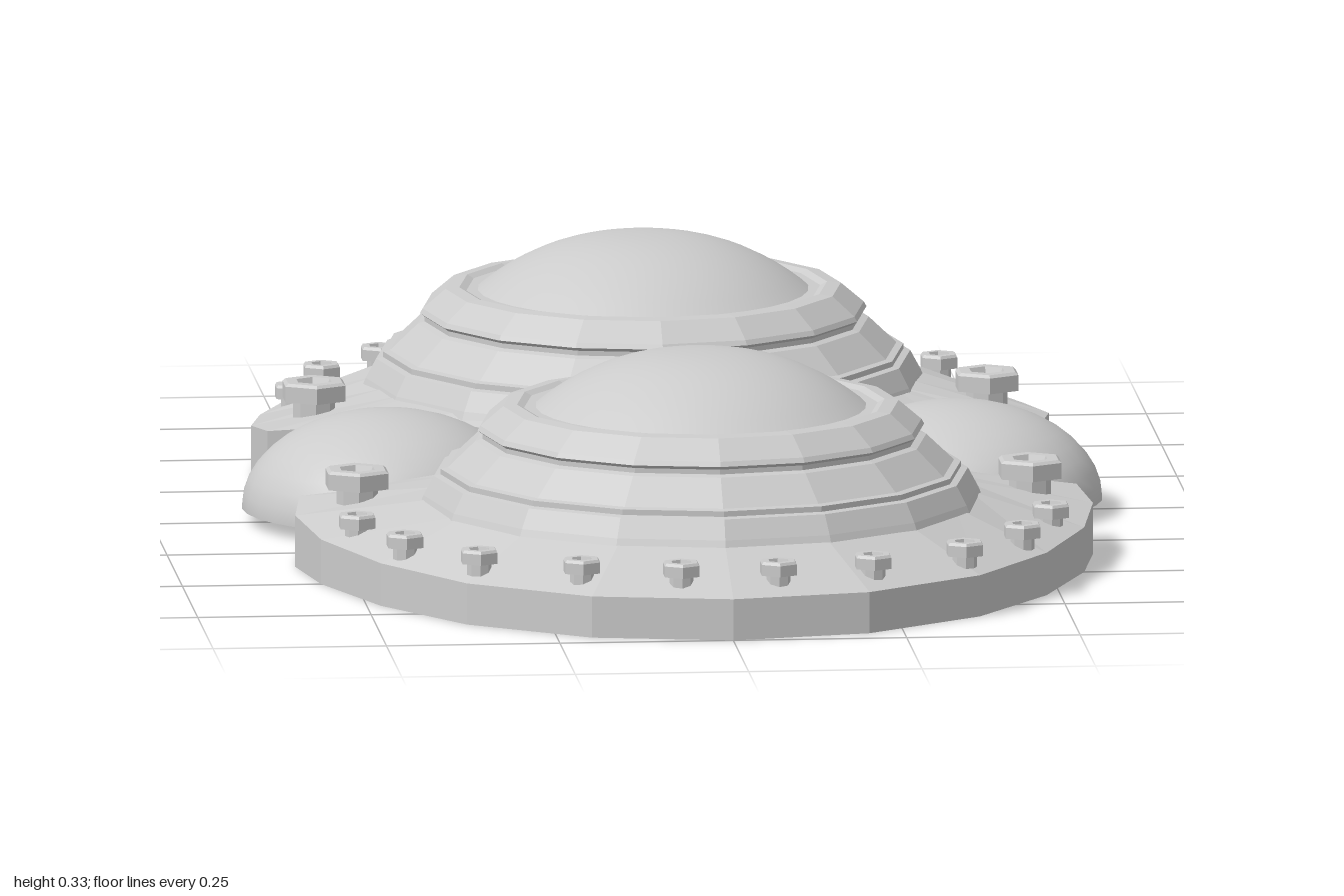
import * as THREE from 'three';

const flat = new THREE.MeshStandardMaterial({ color: 0xcccccc, flatShading: true, side: THREE.DoubleSide });
const smooth = new THREE.MeshStandardMaterial({ color: 0xcccccc, side: THREE.DoubleSide });
const CZ = 0.47; // centre of each main dome along z

function lathe(name, profile, segments, material) {
  const pts = profile.map(([r, y]) => new THREE.Vector2(r, y));
  const mesh = new THREE.Mesh(new THREE.LatheGeometry(pts, segments), material);
  mesh.name = name;
  return mesh;
}

// Half outline of one flange: x, z, top edge height, bottom edge height
const outline = [
  [0, 1, 0.06, 0], [0.2, 0.96, 0.06, 0], [0.37, 0.84, 0.06, 0], [0.48, 0.68, 0.062, 0],
  [0.55, 0.5, 0.065, 0], [0.575, 0.36, 0.075, 0], [0.56, 0.26, 0.085, 0],
  [0.49, 0.25, 0.09, 0], [0.4, 0.222, 0.1, 0], [0.3, 0.182, 0.105, 0.02],
  [0.235, 0.13, 0.105, 0.045], [0.19, 0.07, 0.1, 0.065], [0.17, 0, 0.1, 0.07],
  [0.085, 0, 0.1, 0.1], [0, 0, 0.1, 0.1],
];

// Flange skin: a sloping top from the dome ring to the outline, then a skirt
function flange() {
  const loop = [...outline, ...outline.slice(1, -1).reverse().map(([x, ...rest]) => [-x, ...rest])];
  const pos = [], index = [], n = loop.length;
  loop.forEach(([x, z, top, bottom], i) => {
    const k = 0.385 / Math.hypot(x, z - CZ);
    pos.push(x * k, 0.12, CZ + (z - CZ) * k, x, top, z, x, bottom, z);
    const a = i * 3, b = ((i + 1) % n) * 3;
    for (let j = 0; j < 2; j++) {
      index.push(a + j, a + j + 1, b + j, b + j, a + j + 1, b + j + 1);
    }
  });
  const geo = new THREE.BufferGeometry();
  geo.setAttribute('position', new THREE.Float32BufferAttribute(pos, 3));
  geo.setIndex(index);
  geo.computeVertexNormals();
  const mesh = new THREE.Mesh(geo, flat);
  mesh.name = 'flange';
  return mesh;
}

// Bolt with a hexagonal head, a socket and a narrower stem
function bolt(name, x, z, r, foot, top) {
  const group = new THREE.Group();
  const under = top - (r > 0.04 ? 0.027 : 0.02);
  group.add(
    lathe('stem', [[r * 0.6, foot], [r * 0.6, under]], 8, flat),
    lathe('head', [[r * 0.6, under], [r, under], [r, top - 0.004], [r * 0.9, top],
      [r * 0.55, top], [r * 0.45, top - 0.012], [0, top - 0.012]], 6, flat),
  );
  group.name = name;
  group.position.set(x, 0, z);
  return group;
}

function half() {
  const group = new THREE.Group();
  group.add(flange());

  // Stepped faceted collar
  const collar = lathe('steppedCollar', [
    [0.405, 0.11], [0.4, 0.122], [0.385, 0.15], [0.375, 0.152], [0.375, 0.16], [0.365, 0.162],
    [0.325, 0.2], [0.315, 0.203], [0.315, 0.21], [0.322, 0.215], [0.318, 0.222],
    [0.285, 0.25], [0.265, 0.252], [0.255, 0.247], [0.228, 0.247],
  ], 16, flat);
  collar.position.z = CZ;

  // Smooth cap
  const cap = [];
  for (let i = 0; i <= 12; i++) {
    const t = 1 - i / 12;
    cap.push([0.238 * t, 0.247 + 0.079 * (1 - t ** 2.4)]);
  }
  const dome = lathe('mainDome', cap, 32, smooth);
  dome.position.z = CZ;
  group.add(collar, dome);

  // Rim bolts and the large corner bolts, mirrored
  for (const s of [1, -1]) {
    for (const [x, z] of [[0.07, 0.945], [0.21, 0.905], [0.35, 0.815], [0.445, 0.68], [0.5, 0.522]]) {
      group.add(bolt('rimBolt', s * x, z, 0.029, 0.068, 0.106));
    }
    group.add(bolt('cornerBolt', s * 0.485, 0.352, 0.05, 0.08, 0.141));
  }
  return group;
}

export function createModel() {
  const model = new THREE.Group();
  const front = half();
  front.name = 'frontHalf';
  const back = half();
  back.name = 'backHalf';
  back.rotation.y = Math.PI;
  model.add(front, back);

  // Open side domes in the waist
  for (const s of [1, -1]) {
    const geo = new THREE.SphereGeometry(0.21, 32, 10, 0, Math.PI * 2, 0, Math.PI / 2);
    geo.scale(1, 0.14 / 0.21, 1.03);
    const dome = new THREE.Mesh(geo, smooth);
    dome.name = s > 0 ? 'leftSideDome' : 'rightSideDome';
    dome.position.set(s * 0.41, 0.02, 0);
    model.add(dome);
  }
  return model;
}
